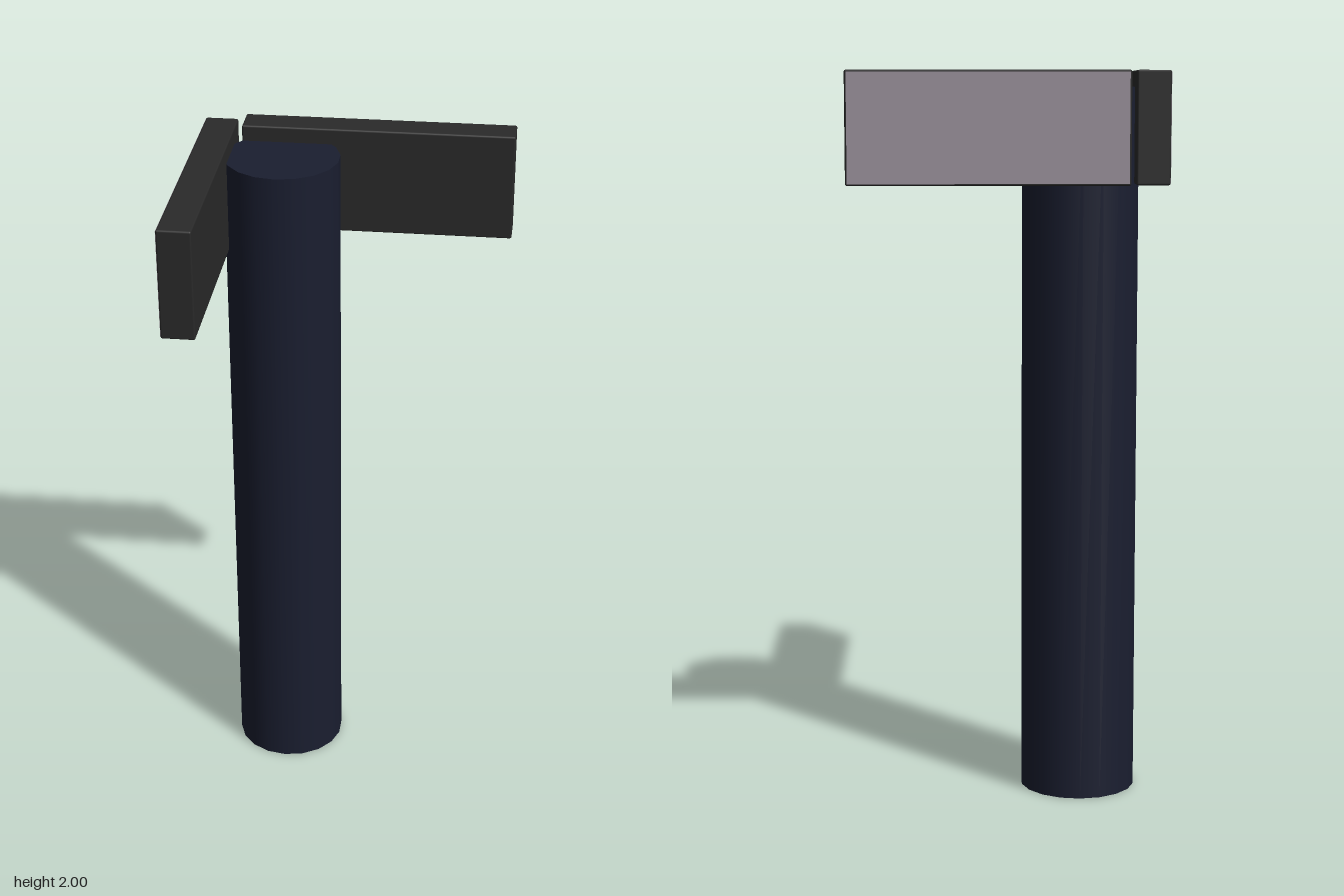
import * as THREE from 'three';
import { RoundedBoxGeometry } from 'three/addons/geometries/RoundedBoxGeometry.js';

const postMat = new THREE.MeshStandardMaterial({ color: 0x1a1e30, side: THREE.DoubleSide });
const boardMat = new THREE.MeshStandardMaterial({ color: 0x2a2a2a });
const panelMat = new THREE.MeshStandardMaterial({ color: 0x9a919b });

function add(parent, name, geometry, material, x, y, z) {
  const mesh = new THREE.Mesh(geometry, material);
  mesh.name = name;
  mesh.position.set(x, y, z);
  parent.add(mesh);
  return mesh;
}

// Sign board lying along x, with its pale face towards -z
function makeBoard(name) {
  const length = 0.758, height = 0.304, depth = 0.092, edge = 0.005, proud = 0.001;
  const board = new THREE.Group();
  board.name = name;
  add(board, 'boardBody', new RoundedBoxGeometry(length, height, depth - proud, 1, edge), boardMat, 0, 0, proud / 2);
  add(board, 'palePanel', new THREE.BoxGeometry(length - 2 * edge, height - 2 * edge, 2 * proud), panelMat,
    0, 0, -depth / 2 + proud);
  return board;
}

export function createModel() {
  const model = new THREE.Group();
  model.name = 'cornerSignPost';

  // Hollow post, open at the foot and capped on top
  const sides = 18, radius = 0.16, height = 1.956;
  const post = new THREE.Group();
  post.name = 'post';
  post.position.set(-0.2, 0, -0.21);
  add(post, 'postTube', new THREE.CylinderGeometry(radius, radius, height, sides, 1, true), postMat, 0, height / 2, 0);
  const cap = new THREE.CircleGeometry(radius, sides, -Math.PI / 2).rotateX(-Math.PI / 2);
  add(post, 'postCap', cap, postMat, 0, height, 0);
  model.add(post);

  // Two boards at a right angle, pale faces outwards
  const backBoard = makeBoard('backBoard');
  backBoard.position.set(0.053, 1.848, -0.354);
  const sideBoard = makeBoard('sideBoard');
  sideBoard.position.set(-0.389, 1.848, 0.019);
  sideBoard.rotation.y = Math.PI / 2;
  model.add(backBoard, sideBoard);

  return model;
}
